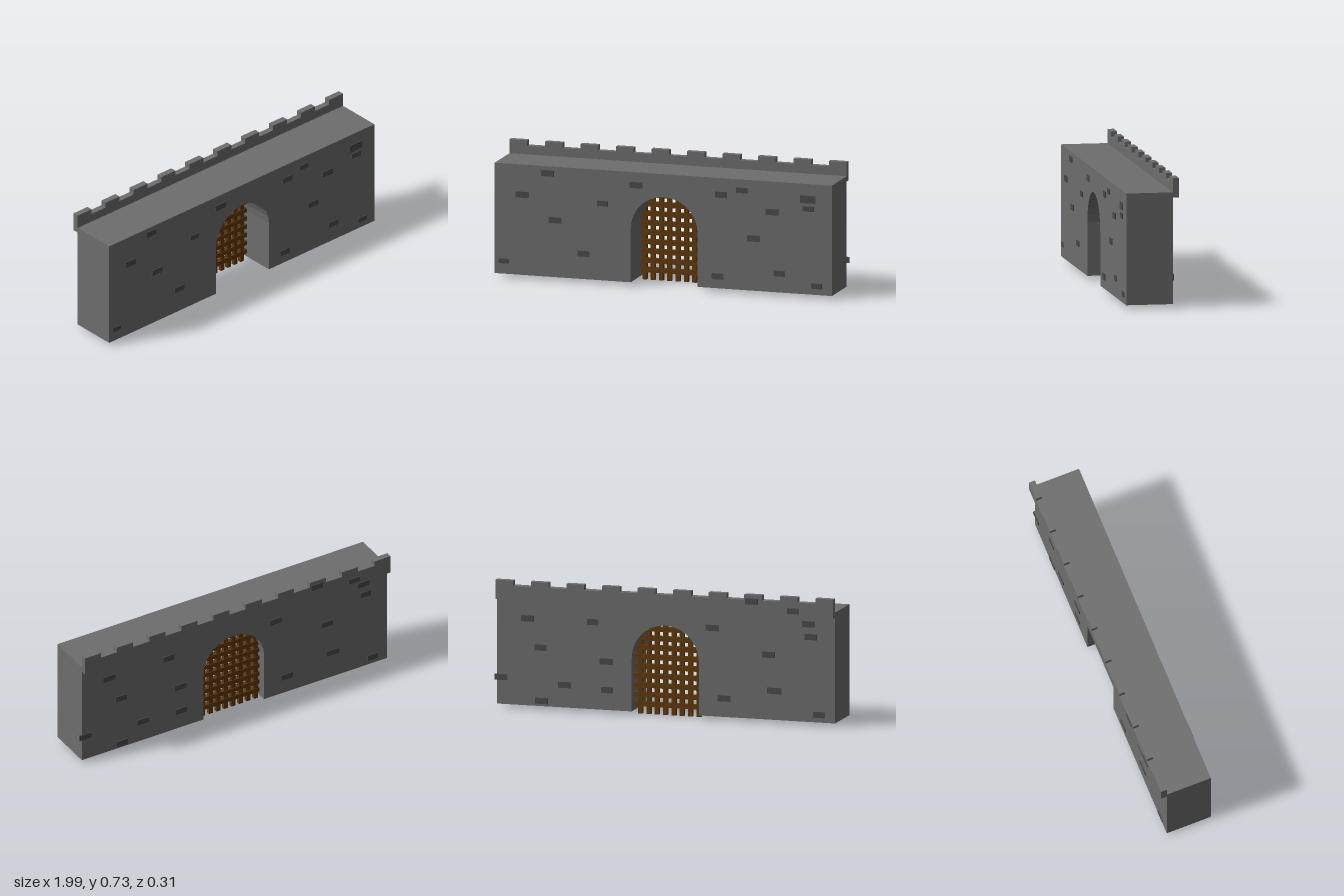
import * as THREE from 'three';

const stone = new THREE.MeshStandardMaterial({ name: 'wall stone', color: 0x6e6e6e });
const darkStone = new THREE.MeshStandardMaterial({ name: 'dark brick', color: 0x4a4a4a });
const wood = new THREE.MeshStandardMaterial({ name: 'gate wood', color: 0x5f390b });

const LEFT = 0.98, RIGHT = -1, BASE = 0.02, TOP = 0.65;
const FRONT = 0.15, BACK = -0.115, PARAPET_BACK = -0.15;
const ARCH = { x: -0.005, r: 0.197, spring: 0.322 };

function box(name, material, w, h, d, x, y, z) {
  const mesh = new THREE.Mesh(new THREE.BoxGeometry(w, h, d), material);
  mesh.name = name;
  mesh.position.set(x, y, z);
  return mesh;
}

// Extrudes an outline of [x, y] points between two depths
function slab(name, points, z0, z1) {
  const shape = new THREE.Shape(points.map(([x, y]) => new THREE.Vector2(x, y)));
  const geometry = new THREE.ExtrudeGeometry(shape, { depth: z1 - z0, bevelEnabled: false });
  geometry.translate(0, 0, z0);
  const mesh = new THREE.Mesh(geometry, stone);
  mesh.name = name;
  return mesh;
}

// Wall outline with the arched gateway cut from its foot
function wall() {
  const points = [[LEFT, BASE], [LEFT, TOP], [RIGHT, TOP], [RIGHT, BASE], [ARCH.x - ARCH.r, BASE]];
  const steps = 14;
  for (let i = 0; i <= steps; i++) {
    const a = Math.PI * (1 - i / steps);
    points.push([ARCH.x + ARCH.r * Math.cos(a), ARCH.spring + ARCH.r * Math.sin(a)]);
  }
  points.push([ARCH.x + ARCH.r, BASE]);
  return slab('wall', points, BACK, FRONT);
}

// Parapet with ten merlons along the back edge
function parapet() {
  const points = [[LEFT, 0.62]];
  const count = 10, width = (LEFT - RIGHT) / (count * 2 - 1);
  for (let i = count - 1; i >= 0; i--) {
    const x = RIGHT + i * 2 * width;
    if (i < count - 1) points.push([x + width, 0.7]);
    points.push([x + width, 0.73], [x, 0.73]);
    if (i > 0) points.push([x, 0.7]);
  }
  points.push([RIGHT, 0.62]);
  return slab('parapet', points, PARAPET_BACK, BACK);
}

// Lattice gate, each bar trimmed to the arch
function gate() {
  const group = new THREE.Group();
  group.name = 'gate';
  for (let i = 0; i < 8; i++) {
    const x = -0.182 + i * 0.0488;
    const top = ARCH.spring + Math.sqrt(ARCH.r ** 2 - (x - ARCH.x) ** 2) + 0.01;
    group.add(box('uprightBar', wood, 0.025, top, 0.022, x, top / 2, -0.049));
  }
  for (let i = 0; i < 9; i++) {
    const y = 0.055 + i * 0.0537;
    const rise = Math.max(0, y - ARCH.spring);
    const half = Math.sqrt(ARCH.r ** 2 - rise ** 2) + 0.004;
    group.add(box('crossBar', wood, half * 2, 0.027, 0.028, ARCH.x, y, -0.049));
  }
  return group;
}

// Scattered raised bricks: [x, y, width, height]
function bricks(name, list, z, depth) {
  const group = new THREE.Group();
  group.name = name;
  for (const [x, y, w = 0.075, h = 0.034] of list) {
    group.add(box('brick', darkStone, w, h, depth, x, y, z));
  }
  return group;
}

const frontBricks = [
  [-0.69, 0.61], [-0.84, 0.478], [-0.645, 0.345], [-0.945, 0.093, 0.06, 0.027],
  [-0.478, 0.165, 0.07, 0.032], [-0.367, 0.459, 0.064, 0.03], [-0.169, 0.577],
  [0.33, 0.555, 0.07], [0.452, 0.588, 0.064, 0.03], [0.628, 0.476], [0.521, 0.318],
  [0.672, 0.128, 0.068, 0.032], [0.31, 0.088, 0.068], [0.89, 0.07, 0.064, 0.03],
  [0.84, 0.562, 0.09, 0.043], [0.842, 0.508, 0.064, 0.03],
];
const backBricks = [
  [0.803, 0.514], [0.419, 0.515, 0.066], [0.726, 0.352, 0.07], [0.584, 0.148],
  [0.72, 0.05], [0.342, 0.295], [0.336, 0.133, 0.07], [-0.279, 0.522],
  [-0.35, 0.125], [-0.645, 0.185, 0.085], [-0.61, 0.388], [-0.905, 0.063, 0.064],
  [-0.846, 0.575], [-0.858, 0.503, 0.07],
];
const parapetBricks = [[-0.765, 0.65, 0.07, 0.032], [-0.522, 0.692]];

export function createModel() {
  const model = new THREE.Group();
  model.name = 'gatehouseWall';
  model.add(
    wall(), parapet(), gate(),
    bricks('frontBricks', frontBricks, FRONT, 0.009),
    bricks('backBricks', backBricks, BACK, 0.009),
    bricks('cornerBrick', [[0.957, 0.173, 0.075, 0.034]], -0.115, 0.009),
    bricks('parapetBricks', parapetBricks, PARAPET_BACK, 0.009),
  );
  return model;
}
